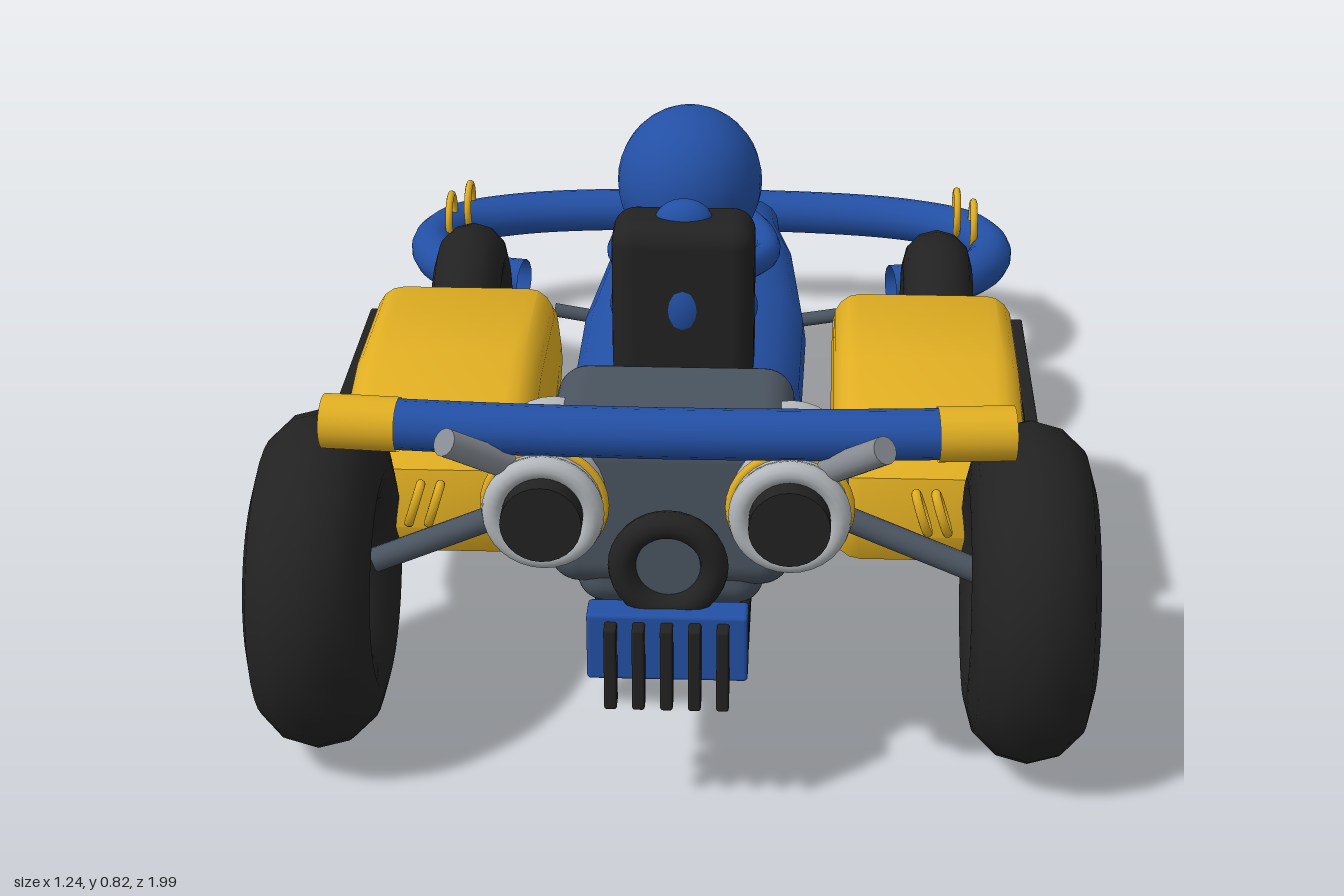
import * as THREE from 'three';
import { toCreasedNormals } from 'three/addons/utils/BufferGeometryUtils.js';
import { RoundedBoxGeometry } from 'three/addons/geometries/RoundedBoxGeometry.js';

const mat = (name, color, side = THREE.FrontSide) => {
  const m = new THREE.MeshStandardMaterial({ color, side });
  m.name = name;
  return m;
};
const V = (x, y, z) => new THREE.Vector3(x, y, z);

export function createModel() {
  const blue = mat('blue paint', 0x2350a5, THREE.DoubleSide);
  const yellow = mat('yellow paint', 0xe0ae22, THREE.DoubleSide);
  const black = mat('black rubber', 0x222222);
  const silver = mat('light metal', 0xb4b8bc);
  const steel = mat('dark metal', 0x4a5460);
  const pipeGrey = mat('pipe metal', 0x888d93);

  const root = new THREE.Group();
  root.name = 'goKart';

  const add = (name, geo, material, x = 0, y = 0, z = 0) => {
    const m = new THREE.Mesh(geo, material);
    m.name = name;
    m.position.set(x, y, z);
    root.add(m);
    return m;
  };
  const box = (name, w, h, d, r, material, x, y, z) =>
    add(name, new RoundedBoxGeometry(w, h, d, 4, r), material, x, y, z);
  const ball = (name, rx, ry, rz, material, x, y, z) =>
    add(name, new THREE.SphereGeometry(1, 28, 20).scale(rx, ry, rz), material, x, y, z);
  const cylZ = (name, r, d, material, x, y, z) =>
    add(name, new THREE.CylinderGeometry(r, r, d, 28).rotateX(Math.PI / 2), material, x, y, z);
  const rod = (name, a, b, r, material) => {
    const m = add(name, new THREE.CylinderGeometry(r, r, a.distanceTo(b), 14), material);
    m.position.copy(a).add(b).multiplyScalar(0.5);
    m.quaternion.setFromUnitVectors(V(0, 1, 0), b.clone().sub(a).normalize());
    return m;
  };
  const tube = (name, pts, r, material, n = 48) =>
    add(name, new THREE.TubeGeometry(new THREE.CatmullRomCurve3(pts), n, r, 14), material);

  // Side profile given as [z, y], extruded along x and centred on x = 0
  const sideExtrude = (pts, depth, bevel) => {
    const shape = new THREE.Shape(pts.map(([z, y]) => new THREE.Vector2(z, y)));
    const g = new THREE.ExtrudeGeometry(shape, {
      depth: depth - 2 * bevel, bevelEnabled: bevel > 0, bevelSize: bevel,
      bevelThickness: bevel, bevelOffset: -bevel, bevelSegments: 4,
    });
    g.rotateY(-Math.PI / 2).translate((depth - 2 * bevel) / 2, 0, 0);
    return toCreasedNormals(g, 0.6);
  };

  // Loft of rounded sections along z: [z, halfWidth, bottom, top]
  const loft = (sections, n = 24, power = 0.75) => {
    const pos = [], idx = [];
    const soft = (v) => Math.sign(v) * Math.abs(v) ** power;
    for (const [z, w, b, t] of sections) {
      for (let j = 0; j < n; j++) {
        const a = (j / n) * Math.PI * 2;
        pos.push(w * soft(Math.cos(a)), (b + t) / 2 + ((t - b) / 2) * soft(Math.sin(a)), z);
      }
    }
    const last = (sections.length - 1) * n, c0 = sections.length * n;
    for (const [z, , b, t] of [sections[0], sections.at(-1)]) pos.push(0, (b + t) / 2, z);
    for (let j = 0; j < n; j++) {
      const k = (j + 1) % n;
      for (let i = 0; i < last; i += n) idx.push(i + j, i + k, i + n + j, i + k, i + n + k, i + n + j);
      idx.push(c0, k, j, c0 + 1, last + j, last + k);
    }
    const g = new THREE.BufferGeometry();
    g.setAttribute('position', new THREE.Float32BufferAttribute(pos, 3));
    g.setIndex(idx);
    return toCreasedNormals(g, 0.6);
  };

  // Hull and floor
  add('hull', loft([
    [-0.73, 0.075, 0.265, 0.335], [-0.6, 0.135, 0.26, 0.39], [-0.5, 0.14, 0.26, 0.405],
    [-0.34, 0.165, 0.26, 0.43], [0, 0.19, 0.26, 0.45], [0.3, 0.185, 0.26, 0.472],
    [0.6, 0.15, 0.26, 0.478],
  ]), blue);
  box('floorTray', 0.23, 0.05, 1.4, 0.01, black, 0, 0.25, 0.15);
  const badge = box('noseBadge', 0.11, 0.012, 0.025, 0.004, yellow, 0, 0.358, -0.69);
  badge.rotation.x = -0.4;
  for (let i = -2; i <= 2; i++) {
    box('noseTooth', 0.016, 0.1, 0.016, 0.004, black, i * 0.046, 0.235, -0.77);
    box('grilleSlat', 0.018, 0.13, 0.03, 0.004, black, i * 0.04, 0.255, 0.93);
  }

  // Front bumper
  const half = [[0.35, -0.57], [0.45, -0.595], [0.52, -0.66], [0.548, -0.76], [0.51, -0.86], [0.4, -0.92], [0.2, -0.955]];
  tube('frontBumper', [
    ...half.map(([x, z]) => V(-x, 0.217, z)),
    ...half.slice().reverse().map(([x, z]) => V(x, 0.217, z)),
  ], 0.042, blue, 90);

  // Rear bar with yellow ends
  const barZ = (x) => 0.897 - 0.09 * x * x;
  tube('rearBar', [-0.47, -0.24, 0, 0.24, 0.47].map((x) => V(x, 0.607, barZ(x))), 0.036, blue);

  // Engine
  box('engineBlock', 0.35, 0.25, 0.27, 0.045, steel, 0, 0.46, 0.725);
  box('engineSump', 0.27, 0.14, 0.24, 0.04, steel, 0, 0.37, 0.73);
  add('engineIntakeRing', new THREE.TorusGeometry(0.066, 0.02, 12, 32), black, 0, 0.39, 0.88);
  cylZ('engineIntake', 0.06, 0.06, steel, 0, 0.39, 0.85);
  box('rearGrille', 0.23, 0.105, 0.05, 0.006, blue, 0, 0.278, 0.895);

  // Driver
  ball('driverHead', 0.116, 0.122, 0.12, blue, 0, 0.706, 0.165);
  ball('driverTorso', 0.105, 0.15, 0.115, blue, 0, 0.49, 0.19);
  box('goggles', 0.15, 0.06, 0.05, 0.024, silver, 0, 0.7, 0.05);
  ball('driverNose', 0.012, 0.012, 0.012, black, 0, 0.685, 0.01);

  // Seat back with blue cushion
  box('seatBack', 0.22, 0.27, 0.12, 0.035, black, 0, 0.595, 0.38);
  ball('seatCushion', 0.06, 0.085, 0.065, blue, 0, 0.595, 0.38);
  ball('seatSideCushion', 0.115, 0.075, 0.04, blue, 0, 0.58, 0.38);
  ball('seatKnob', 0.045, 0.035, 0.03, blue, 0, 0.72, 0.38);

  // Steering
  add('steeringWheel', new THREE.TorusGeometry(0.08, 0.015, 12, 32), black, 0, 0.53, -0.235);
  box('steeringSpoke', 0.16, 0.02, 0.014, 0.005, black, 0, 0.53, -0.232);
  ball('steeringHub', 0.025, 0.025, 0.02, yellow, 0, 0.515, -0.24);
  rod('steeringColumn', V(0, 0.51, -0.23), V(0, 0.43, -0.07), 0.014, steel);
  box('steeringMount', 0.12, 0.05, 0.06, 0.012, steel, 0, 0.445, -0.16);

  // Small hook beside one front wheel
  add('frontHook', new THREE.TorusGeometry(0.022, 0.007, 8, 18).rotateY(1), yellow, 0.345, 0.25, -0.36);

  const podProfile = [[0.55, 0.27], [0.53, 0.36], [0.45, 0.415], [0.29, 0.455], [0.03, 0.455], [-0.06, 0.4],
    [-0.12, 0.32], [-0.14, 0.265], [-0.11, 0.225], [-0.05, 0.188], [0.17, 0.163], [0.32, 0.168], [0.46, 0.19], [0.53, 0.22]];
  const panelProfile = [[0.45, 0.28], [0.41, 0.35], [0.34, 0.378], [0.03, 0.378], [-0.03, 0.33],
    [-0.06, 0.285], [-0.03, 0.245], [0.05, 0.222], [0.17, 0.207], [0.35, 0.212], [0.42, 0.24]];

  for (const s of [1, -1]) {
    // Wheels
    const wheel = (name, R, r, w, x, y, z) => {
      add(name + 'Tyre', new THREE.TorusGeometry(R, r, 12, 36).scale(1, 1, w / r).rotateY(Math.PI / 2), black, s * x, y, z);
      ball(name + 'Hub', w * 0.6, R - r + 0.008, R - r + 0.008, silver, s * x, y, z);
    };
    wheel('rearWheel', 0.165, 0.09, 0.093, 0.527, 0.26, 0.695);
    wheel('frontWheel', 0.121, 0.063, 0.063, 0.428, 0.215, -0.375);

    // Side pods with panel, trim strip and bolts
    add('sidePod', sideExtrude(podProfile, 0.3, 0.045), yellow, s * 0.385);
    add('podPanel', sideExtrude(panelProfile, 0.02, 0), blue, s * 0.538);
    box('podTrim', 0.02, 0.016, 0.44, 0.004, black, s * 0.547, 0.385, 0.2);
    for (const [z, y] of [[0.39, 0.31], [0.01, 0.31]]) ball('panelBolt', 0.006, 0.007, 0.007, yellow, s * 0.548, y, z);

    // Suspension links
    rod('rearLink', V(s * 0.26, 0.335, 0.62), V(s * 0.46, 0.265, 0.65), 0.019, steel);
    rod('frontLink', V(s * 0.13, 0.33, -0.125), V(s * 0.25, 0.35, -0.125), 0.012, steel);

    // Yellow strap loops
    for (const dx of [-0.015, 0.015]) {
      const loop = new THREE.TorusGeometry(0.044, 0.007, 8, 24).rotateY(Math.PI / 2);
      add('bumperStrap', loop, yellow, s * (0.5 + dx), 0.262, -0.82 + dx * 2);
      add('linkStrap', loop.clone().scale(1, 0.8, 0.45), yellow, s * (0.385 + dx), 0.34, 0.605).rotation.z = s * 0.3;
    }

    // Rear bar ends
    const end = new THREE.CylinderGeometry(0.039, 0.039, 0.107, 20, 1, true).rotateZ(Math.PI / 2);
    add('rearBarEnd', end, yellow, s * 0.428, 0.607, barZ(0.428)).rotation.y = s * 0.08;

    // Exhaust drums and pipes
    cylZ('exhaustDrum', 0.083, 0.2, silver, s * 0.172, 0.495, 0.82);
    add('exhaustLip', new THREE.TorusGeometry(0.07, 0.016, 12, 32), silver, s * 0.172, 0.495, 0.925);
    add('exhaustBand', new THREE.TorusGeometry(0.083, 0.008, 8, 32), yellow, s * 0.172, 0.495, 0.9);
    cylZ('exhaustOutlet', 0.057, 0.07, black, s * 0.172, 0.495, 0.93);
    rod('exhaustPipe', V(s * 0.21, 0.545, 0.89), V(s * 0.3, 0.625, 0.975), 0.02, pipeGrey);

    // Driver arms, hands and eyes
    tube('driverArm', [V(s * 0.085, 0.55, 0.16), V(s * 0.122, 0.53, 0.04), V(s * 0.108, 0.515, -0.1), V(s * 0.06, 0.51, -0.21)], 0.022, blue, 24);
    ball('driverHand', 0.024, 0.024, 0.026, blue, s * 0.06, 0.51, -0.215);
    ball('goggleLens', 0.038, 0.046, 0.03, silver, s * 0.036, 0.705, 0.035);
    ball('pupil', 0.014, 0.018, 0.01, black, s * 0.034, 0.707, 0.008);
  }

  return root;
}
